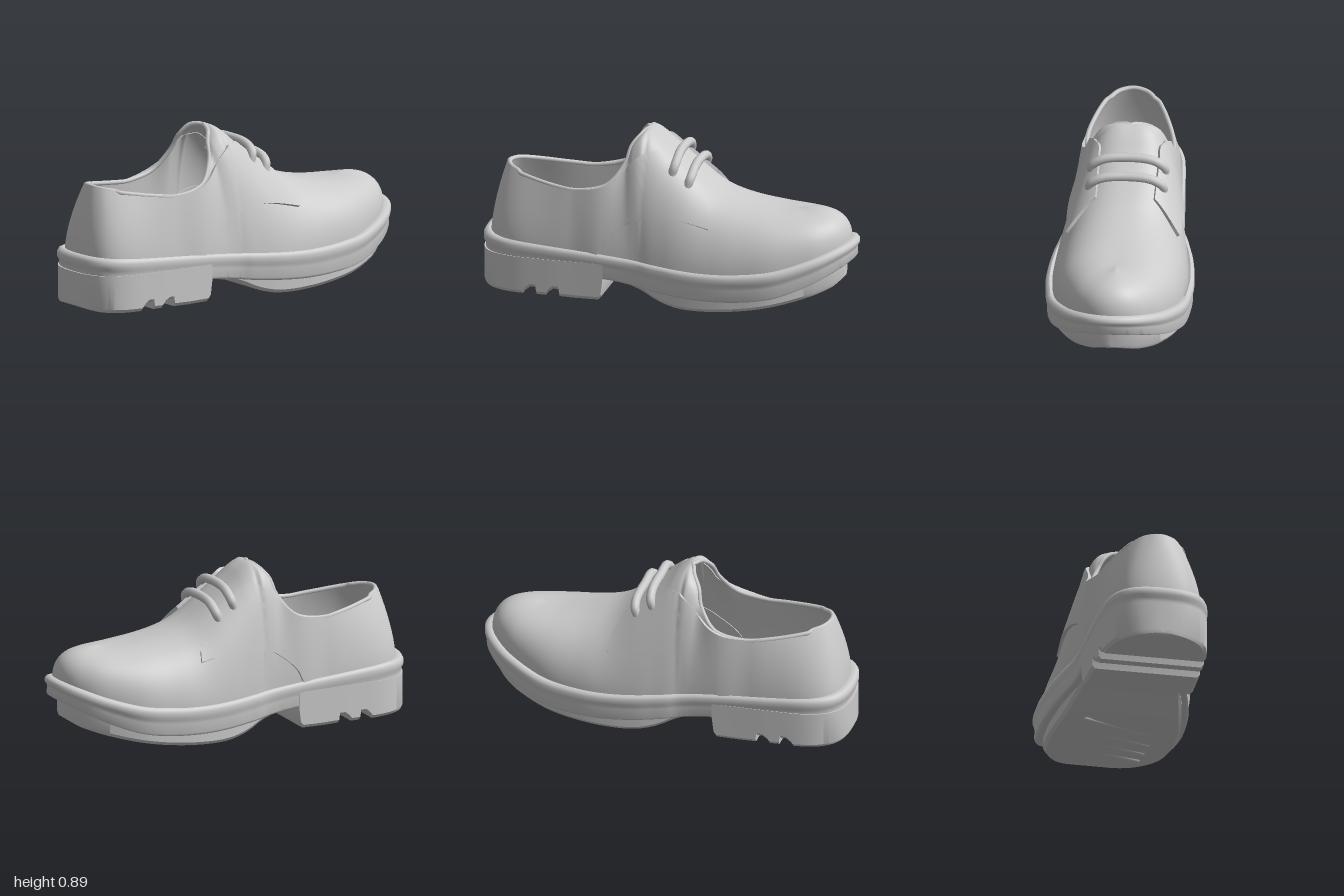
import * as THREE from 'three';
import { mergeVertices, toCreasedNormals } from 'three/addons/utils/BufferGeometryUtils.js';

const material = new THREE.MeshStandardMaterial({ color: 0xcccccc, side: THREE.DoubleSide });

// Upper, heel to toe: base x, base half width, top x, top y, top half width, two wall roundness powers
const ROWS = [
  [-0.96, 0, -0.885, 0.655, 0, 1.6, 1],
  [-0.945, 0.12, -0.875, 0.652, 0.05, 1.6, 1],
  [-0.89, 0.2, -0.84, 0.645, 0.1, 1.6, 1],
  [-0.78, 0.245, -0.74, 0.625, 0.162, 1.6, 1],
  [-0.6, 0.26, -0.58, 0.6, 0.215, 1.6, 1],
  [-0.45, 0.265, -0.45, 0.59, 0.237, 1.6, 1],
  [-0.3, 0.27, -0.3, 0.625, 0.232, 1.6, 1],
  [-0.2, 0.275, -0.215, 0.73, 0.18, 1.6, 1.3],
  [-0.15, 0.28, -0.19, 0.815, 0.135, 1.6, 2],
  [-0.12, 0.285, -0.15, 0.868, 0.08, 1.6, 2.6],
  [-0.1, 0.29, -0.12, 0.883, 0, 1.6, 3],
  [-0.06, 0.302, -0.065, 0.852, 0, 1.6, 3],
  [0, 0.315, 0, 0.795, 0, 1.6, 3],
  [0.1, 0.335, 0.1, 0.715, 0, 1.6, 2.8],
  [0.25, 0.35, 0.25, 0.605, 0, 1.7, 2.5],
  [0.4, 0.35, 0.4, 0.55, 0, 2, 2.4],
  [0.6, 0.325, 0.56, 0.518, 0, 2.3, 2.6],
  [0.79, 0.245, 0.66, 0.51, 0, 2.6, 2.8],
  [0.89, 0.165, 0.7, 0.513, 0, 2.6, 2.8],
  [0.943, 0.085, 0.72, 0.517, 0, 2.6, 2.8],
  [0.96, 0, 0.73, 0.518, 0, 2.6, 2.8],
];
const LAST = ROWS.length - 1, TONGUE = 10;

// Smooth curve y(x) through a few points
const curve = (pts) => (x) => {
  const n = pts.length - 1;
  let i = 0;
  while (i < n - 1 && x > pts[i + 1][0]) i++;
  const slope = (k) => {
    const a = pts[Math.max(k - 1, 0)], b = pts[Math.min(k + 1, n)];
    return (b[1] - a[1]) / (b[0] - a[0]);
  };
  const [x0, y0] = pts[i], [x1, y1] = pts[i + 1], d = x1 - x0;
  const t = THREE.MathUtils.clamp((x - x0) / d, 0, 1), s = 1 - t;
  return y0 * s * s * (1 + 2 * t) + y1 * t * t * (1 + 2 * s) + d * t * s * (slope(i) * s - slope(i + 1) * t);
};
const weltTop = curve([[-1, 0.305], [-0.4, 0.265], [0, 0.235], [0.3, 0.225], [0.6, 0.25], [0.8, 0.3], [1, 0.37]]);
const weltBottom = curve([[-1, 0.15], [-0.3, 0.125], [0, 0.09], [0.3, 0.075], [0.6, 0.1], [0.8, 0.165], [1, 0.265]]);
const treadBottom = curve([[-0.32, 0.125], [-0.2, 0.105], [-0.1, 0.075], [0, 0.03], [0.12, 0.005], [0.3, 0.008],
  [0.5, 0.03], [0.7, 0.07], [0.88, 0.125], [0.93, 0.16]]);

// Interpolated row; both ends continue as mirror images
function rowAt(u) {
  const get = (i) => {
    if (i >= 0 && i <= LAST) return ROWS[i];
    const r = [...ROWS[i < 0 ? -i : 2 * LAST - i]];
    r[1] *= -1;
    r[4] *= -1;
    return r;
  };
  const i = Math.min(Math.floor(u), LAST - 1), t = u - i;
  const [a, b, c, d] = [get(i - 1), get(i), get(i + 1), get(i + 2)];
  const r = b.map((_, k) => b[k] + 0.5 * t * (c[k] - a[k] + t * (2 * a[k] - 5 * b[k] + 4 * c[k] - d[k]
    + t * (3 * (b[k] - c[k]) + d[k] - a[k]))));
  r[1] = Math.max(r[1], 0);
  r[4] = Math.max(r[4], 0);
  return r;
}
function findU(x) {
  let lo = 0, hi = LAST;
  for (let k = 0; k < 30; k++) {
    const m = (lo + hi) / 2;
    if (rowAt(m)[0] < x) lo = m; else hi = m;
  }
  return lo;
}
const halfWidth = (x) => rowAt(findU(THREE.MathUtils.clamp(x, -0.96, 0.96)))[1];

// Point on the upper: u along the foot, v from welt (0) to top (1)
function upperPoint(u, v, side) {
  const [bx, bw, tx, ty, tw, p, q] = rowAt(u);
  const h = 1 - Math.pow(Math.max(1 - Math.pow(v, p), 0), 1 / q);
  const by = weltTop(bx) - 0.02;
  const lean = -0.03 * Math.exp(-(((bx + 0.05) / 0.35) ** 2)) * v;
  return new THREE.Vector3(bx + (tx - bx) * h, by + (ty - by) * v, side * (bw + (tw - bw) * h) + lean);
}
// Point lifted off the upper along its normal
function raisedPoint(x, v, side, lift) {
  const u = findU(x), w = THREE.MathUtils.clamp(v, 0.03, 0.97);
  const du = upperPoint(u + 0.3, w, side).sub(upperPoint(u - 0.3, w, side));
  const dv = upperPoint(u, w + 0.02, side).sub(upperPoint(u, w - 0.02, side));
  return upperPoint(u, v, side).addScaledVector(du.cross(dv).normalize(), lift * side);
}

function grid(nu, nv, fn, crease) {
  const pos = [], index = [];
  for (let i = 0; i <= nu; i++) for (let j = 0; j <= nv; j++) pos.push(...fn(i, j).toArray());
  for (let i = 0; i < nu; i++) for (let j = 0; j < nv; j++) {
    const a = i * (nv + 1) + j, b = a + nv + 1;
    index.push(a, b, a + 1, b, b + 1, a + 1);
  }
  let g = new THREE.BufferGeometry();
  g.setAttribute('position', new THREE.Float32BufferAttribute(pos, 3));
  g.setIndex(index);
  g = mergeVertices(g, 1e-5);
  if (crease) return toCreasedNormals(g, crease);
  g.computeVertexNormals();
  return g;
}

// Solid from stations [x, half width, bottom y, top y] with bevelled lower edges
function slab(stations) {
  const first = [...stations[0]], last = [...stations[stations.length - 1]];
  first[1] = last[1] = 0;
  const list = [first, ...stations, last];
  return grid(list.length - 1, 6, (i, j) => {
    const [x, w, b, t] = list[i], n = Math.max(w - 0.015, 0);
    const loop = [[b, -n], [b, n], [b + 0.018, w], [t, w], [t, -w], [b + 0.018, -w], [b, -n]];
    return new THREE.Vector3(x, ...loop[j]);
  }, 0.6);
}

export function createModel() {
  const shoe = new THREE.Group();
  const add = (name, geometry) => {
    const mesh = new THREE.Mesh(geometry, material);
    mesh.name = name;
    shoe.add(mesh);
    return mesh;
  };
  const STEPS = 6, HALF = LAST * STEPS;
  const around = (i) => (i <= HALF ? [i / STEPS, 1] : [(2 * HALF - i) / STEPS, -1]);

  // Upper: walls at the rear closing into tongue, vamp and toe
  add('upper', grid(2 * HALF, 28, (i, j) => upperPoint(around(i)[0], 1 - (1 - j / 28) ** 2.5, around(i)[1])));

  // Rolled edge just inside the opening
  const rim = [];
  for (let k = -TONGUE * 3; k < TONGUE * 3; k++) {
    const p = upperPoint(Math.abs(k) / 3, 1, k < 0 ? -1 : 1);
    rim.push(new THREE.Vector3(p.x + 0.012 * (p.x < -0.8 ? 1 : -0.5), p.y - 0.008, p.z * 0.955));
  }
  add('collarRim', new THREE.TubeGeometry(new THREE.CatmullRomCurve3(rim, true), 160, 0.012, 8, true));

  // Welt and midsole with the insole: rings of [x scale, z scale, height share]
  const rings = [[0.97, 0, 0], [0.97, 0.94, 0], [0.985, 0.97, 0.03], [0.99, 0.98, 0.1], [0.988, 0.98, 0.45],
    [0.99, 0.985, 0.58], [1, 1, 0.68], [1, 1, 0.85], [0.99, 0.985, 0.96], [0.97, 0.945, 1], [0.94, 0.9, 0.92], [0.94, 0, 0.92]];
  add('welt', grid(2 * HALF, rings.length - 1, (i, j) => {
    const [u, side] = around(i), [bx, bw] = rowAt(u), [kx, kz, f] = rings[j];
    const x = bx * 1.04, b = weltBottom(x);
    return new THREE.Vector3(x * kx, b + (weltTop(x) - b) * f, side * bw * 1.1 * kz);
  }, 0.9));

  // Heel block with two cross grooves
  const heel = [];
  for (let i = 0; i <= 12; i++) heel.push([-0.74 - 0.255 * Math.cos((i / 12) * Math.PI / 2), 0.01 + 0.03 * (1 - i / 12) ** 3]);
  heel.push([-0.725, 0.03], [-0.7, 0.05], [-0.67, 0.05], [-0.665, 0.012], [-0.615, 0.012], [-0.6, 0.032],
    [-0.575, 0.05], [-0.545, 0.05], [-0.54, 0.012], [-0.45, 0.01], [-0.33, 0.012], [-0.315, 0.03], [-0.305, 0.11]);
  add('heel', slab(heel.map(([x, y]) => [x, halfWidth(x / 1.037) * 1.09, y, 0.21])));

  // Forefoot outsole with slanted ridges
  const tread = [];
  for (let i = 0; i <= 48; i++) {
    const x = -0.32 + 1.25 * Math.sin((i / 48) * Math.PI / 2);
    tread.push([x, halfWidth(x / 0.97) * 0.96, treadBottom(x), weltBottom(x) + 0.03]);
  }
  add('outsole', slab(tread));
  for (const x of [0.14, 0.27, 0.4, 0.53]) {
    const ridge = add('treadRidge', new THREE.CapsuleGeometry(0.015, 0.4, 4, 8));
    ridge.position.set(x, treadBottom(x) + 0.01, 0);
    ridge.rotation.set(Math.PI / 2, 0, -0.33);
  }

  // Raised lacing flaps over both sides
  const lowEdge = curve([[-0.34, 0.25], [-0.3, 0.33], [-0.2, 0.415], [-0.1, 0.462], [0, 0.48], [0.1, 0.475], [0.27, 0.435]]);
  const highEdge = curve([[-0.5, 1], [-0.3, 1], [-0.2, 0.92], [-0.15, 0.87], [-0.1, 0.86], [-0.05, 0.92], [0, 0.93], [0.2, 0.93], [0.27, 0.91]]);
  const NU = 60, NV = 20;
  for (const side of [1, -1]) {
    add(side > 0 ? 'leftFlap' : 'rightFlap', grid(NU, NV, (k, j) => {
      const i = side > 0 ? k : NU - k;
      const a = Math.min(i / (NU - 1), 1), c = THREE.MathUtils.clamp((j - 1) / (NV - 2), 0, 1);
      const x = -0.5 + a * (0.76 - 0.07 * c * c);
      const y0 = weltTop(x) - 0.02;
      const low = x < -0.34 ? 0 : Math.max((lowEdge(x) - y0) / (rowAt(findU(x))[3] - y0), 0);
      const v = low + (Math.min(highEdge(x), 1) - low) * c;
      const border = j === 0 || j === NV || i === NU;
      const lift = border ? -0.004 : 0.018 * THREE.MathUtils.smoothstep(x, -0.5, -0.32);
      return raisedPoint(x, v, side, lift);
    }, 0.8));
  }

  // Two laces across the tongue
  for (const x of [0.035, 0.12]) {
    const half = (side) => [[0.86, 0], [0.9, 0.028], [0.945, 0.034], [0.98, 0.03]]
      .map(([v, lift]) => raisedPoint(x, v, side, lift));
    const top = upperPoint(findU(x), 1, 1).add(new THREE.Vector3(0.014, 0.018, 0));
    const path = new THREE.CatmullRomCurve3([...half(1), top, ...half(-1).reverse()]);
    add('lace', new THREE.TubeGeometry(path, 48, 0.024, 10));
  }
  return shoe;
}
